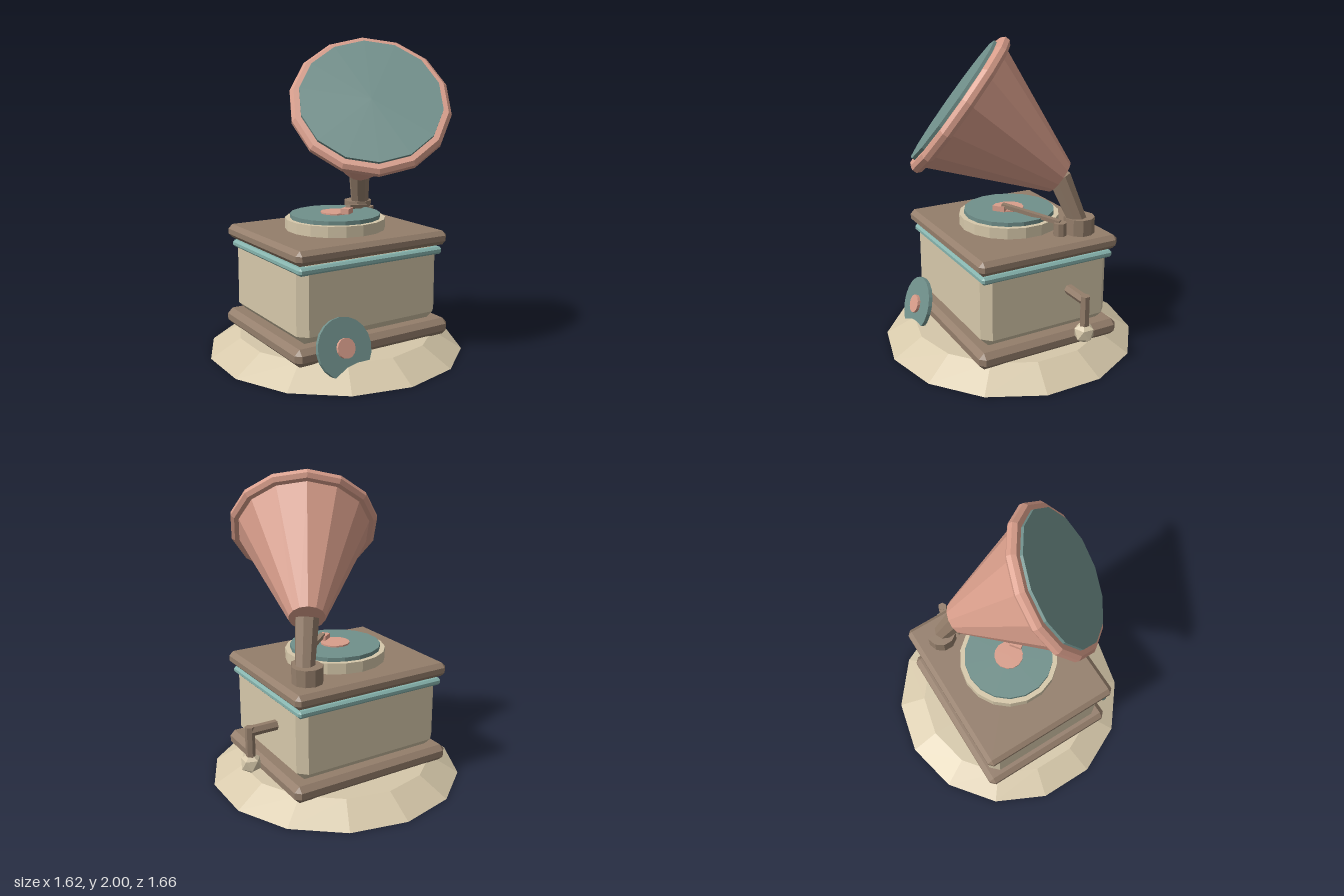
import * as THREE from 'three';
import { ConvexGeometry } from 'three/addons/geometries/ConvexGeometry.js';

export function createModel() {
  const model = new THREE.Group();
  model.name = 'gramophone';

  const paint = (name, color) => {
    const m = new THREE.MeshStandardMaterial({ color, flatShading: true });
    m.name = name;
    return m;
  };
  const cream = paint('cream', 0xd6c8aa);
  const brown = paint('brown', 0x947e6b);
  const coral = paint('coral', 0xd99e8b);
  const teal = paint('teal', 0x70908b);
  const paleTeal = paint('paleTeal', 0x86b3ad);

  const add = (name, geometry, material, x = 0, y = 0, z = 0, parent = model) => {
    const mesh = new THREE.Mesh(geometry, material);
    mesh.name = name;
    mesh.position.set(x, y, z);
    parent.add(mesh);
    return mesh;
  };

  // Upright cylinder given by its bottom and top heights
  const drum = (name, material, rTop, rBottom, y0, y1, sides, x = 0, z = 0) =>
    add(name, new THREE.CylinderGeometry(rTop, rBottom, y1 - y0, sides), material, x, (y0 + y1) / 2, z);

  // Box with every edge chamfered by c
  const chamferBox = (name, material, hx, hz, y0, y1, c) => {
    const hy = (y1 - y0) / 2;
    const points = [];
    for (const sx of [-1, 1]) for (const sy of [-1, 1]) for (const sz of [-1, 1]) {
      points.push(
        new THREE.Vector3(sx * hx, sy * (hy - c), sz * (hz - c)),
        new THREE.Vector3(sx * (hx - c), sy * hy, sz * (hz - c)),
        new THREE.Vector3(sx * (hx - c), sy * (hy - c), sz * hz));
    }
    return add(name, new ConvexGeometry(points), material, 0, (y0 + y1) / 2, 0);
  };

  // Rod from a to b
  const up = new THREE.Vector3(0, 1, 0);
  const rod = (name, material, a, b, rA, rB, sides) => {
    const dir = b.clone().sub(a);
    const mesh = add(name, new THREE.CylinderGeometry(rB, rA, dir.length(), sides), material);
    mesh.position.copy(a).addScaledVector(dir, 0.5);
    mesh.quaternion.setFromUnitVectors(up, dir.normalize());
    return mesh;
  };
  const V = (x, y, z) => new THREE.Vector3(x, y, z);

  // Stand and cabinet
  drum('stand', cream, 0.64, 0.83, 0, 0.113, 14);
  chamferBox('plinth', brown, 0.565, 0.492, 0.105, 0.213, 0.033);
  chamferBox('cabinet', cream, 0.513, 0.445, 0.21, 0.71, 0.055);
  chamferBox('trim', paleTeal, 0.524, 0.457, 0.638, 0.685, 0.014);
  chamferBox('lid', brown, 0.55, 0.482, 0.7, 0.79, 0.028);

  // Turntable
  drum('platter', cream, 0.325, 0.325, 0.785, 0.86, 18);
  drum('record', teal, 0.293, 0.293, 0.86, 0.886, 18);
  drum('recordLabel', coral, 0.095, 0.095, 0.886, 0.896, 14);

  // Playing arm
  drum('armPost', brown, 0.042, 0.042, 0.785, 0.873, 8, 0.367, -0.16);
  const armStart = V(0.367, 0.872, -0.16);
  const armEnd = V(0.05, 0.93, 0.075);
  const armDir = armEnd.clone().sub(armStart);
  const arm = add('arm', new THREE.BoxGeometry(0.035, 0.025, armDir.length()), brown);
  arm.position.copy(armStart).addScaledVector(armDir, 0.5);
  arm.lookAt(armEnd);
  const head = add('needleHead', new THREE.BoxGeometry(0.055, 0.035, 0.08), coral, 0.035, 0.909, 0.085);
  head.rotation.y = Math.atan2(armDir.x, armDir.z);

  // Horn support
  drum('hornSocket', brown, 0.097, 0.097, 0.785, 0.895, 10, 0.376, -0.296);
  const throat = V(0.31, 1.15, -0.183);
  const mouth = V(0.024, 1.6, 0.355);
  rod('hornNeck', brown, V(0.385, 0.86, -0.283), throat, 0.06, 0.075, 8);

  // Horn, built along its own y axis with the mouth at y = 0
  const horn = new THREE.Group();
  horn.name = 'horn';
  const axis = mouth.clone().sub(throat);
  const length = axis.length();
  horn.position.copy(mouth);
  horn.quaternion.setFromUnitVectors(up, axis.normalize());
  model.add(horn);
  const bellLength = length - 0.035;
  add('hornBell', new THREE.CylinderGeometry(0.435, 0.113, bellLength, 14), coral, 0, -length + bellLength / 2, 0, horn);
  const rimProfile = [[0.42, -0.04], [0.462, -0.042], [0.486, -0.02], [0.486, 0.01], [0.464, 0.032], [0.42, 0.032]]
    .map(([r, y]) => new THREE.Vector2(r, y));
  add('hornRim', new THREE.LatheGeometry(rimProfile, 14), coral, 0, 0, 0, horn);
  add('hornMouth', new THREE.CylinderGeometry(0.43, 0.43, 0.05, 14), teal, 0, 0.026, 0, horn);

  // Winding crank
  rod('crankAxle', brown, V(0.5, 0.485, -0.14), V(0.692, 0.485, -0.14), 0.033, 0.033, 6);
  rod('crankHandle', brown, V(0.692, 0.515, -0.14), V(0.692, 0.3, -0.14), 0.03, 0.03, 6);
  const knob = add('crankKnob', new THREE.IcosahedronGeometry(0.068, 0), cream, 0.692, 0.273, -0.14);
  knob.rotation.z = Math.atan(2 / (1 + Math.sqrt(5)));

  // Spare record leaning against the cabinet
  const spare = new THREE.Group();
  spare.name = 'spareRecord';
  spare.position.set(-0.284, 0.2, 0.547);
  spare.rotation.x = Math.PI / 2 - 0.33;
  model.add(spare);
  add('spareDisc', new THREE.CylinderGeometry(0.182, 0.182, 0.026, 20), teal, 0, 0, 0, spare);
  add('spareLabel', new THREE.CylinderGeometry(0.06, 0.06, 0.02, 14), coral, 0, 0.022, 0, spare);

  return model;
}
